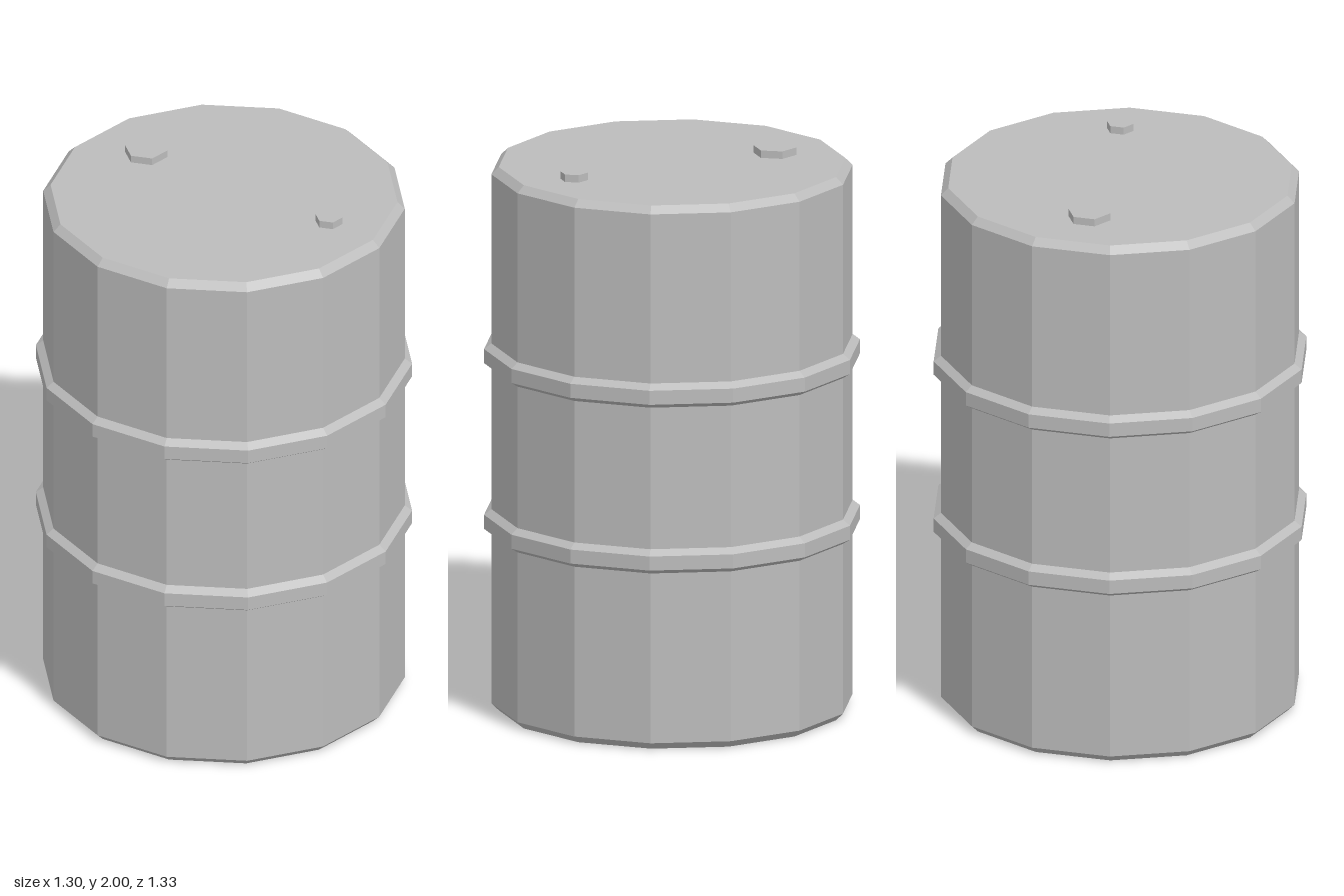
import * as THREE from 'three';

const SIDES = 14;

// Give every face its own normal for a faceted look
function faceted(geometry) {
  const g = geometry.toNonIndexed();
  g.computeVertexNormals();
  return g;
}

export function createModel() {
  const group = new THREE.Group();
  group.name = 'drum';

  const steel = new THREE.MeshStandardMaterial({ color: 0xbcbcbc });
  steel.name = 'grey steel';

  const add = (name, geometry, x = 0, y = 0, z = 0) => {
    const mesh = new THREE.Mesh(faceted(geometry), steel);
    mesh.name = name;
    mesh.position.set(x, y, z);
    group.add(mesh);
  };

  // Drum shell: bevelled ends and two raised rolling hoops
  const inner = 0.613, wall = 0.639, hoop = 0.665;
  const profile = [[0, 0], [inner, 0], [wall, 0.026]];
  for (const y of [0.643, 1.245]) {
    profile.push([wall, y], [hoop, y + 0.017], [hoop, y + 0.068], [wall, y + 0.088]);
  }
  profile.push([wall, 1.947], [inner, 1.973], [0, 1.973]);
  add('shell', new THREE.LatheGeometry(profile.map(([r, y]) => new THREE.Vector2(r, y)), SIDES));

  // Hexagonal plugs on the lid
  const plug = (name, r, x, z) =>
    add(name, new THREE.CylinderGeometry(r, r, 0.03, 6), x, 1.985, z);
  plug('largePlug', 0.077, -0.383, -0.002);
  plug('smallPlug', 0.049, 0.403, -0.115);

  return group;
}
